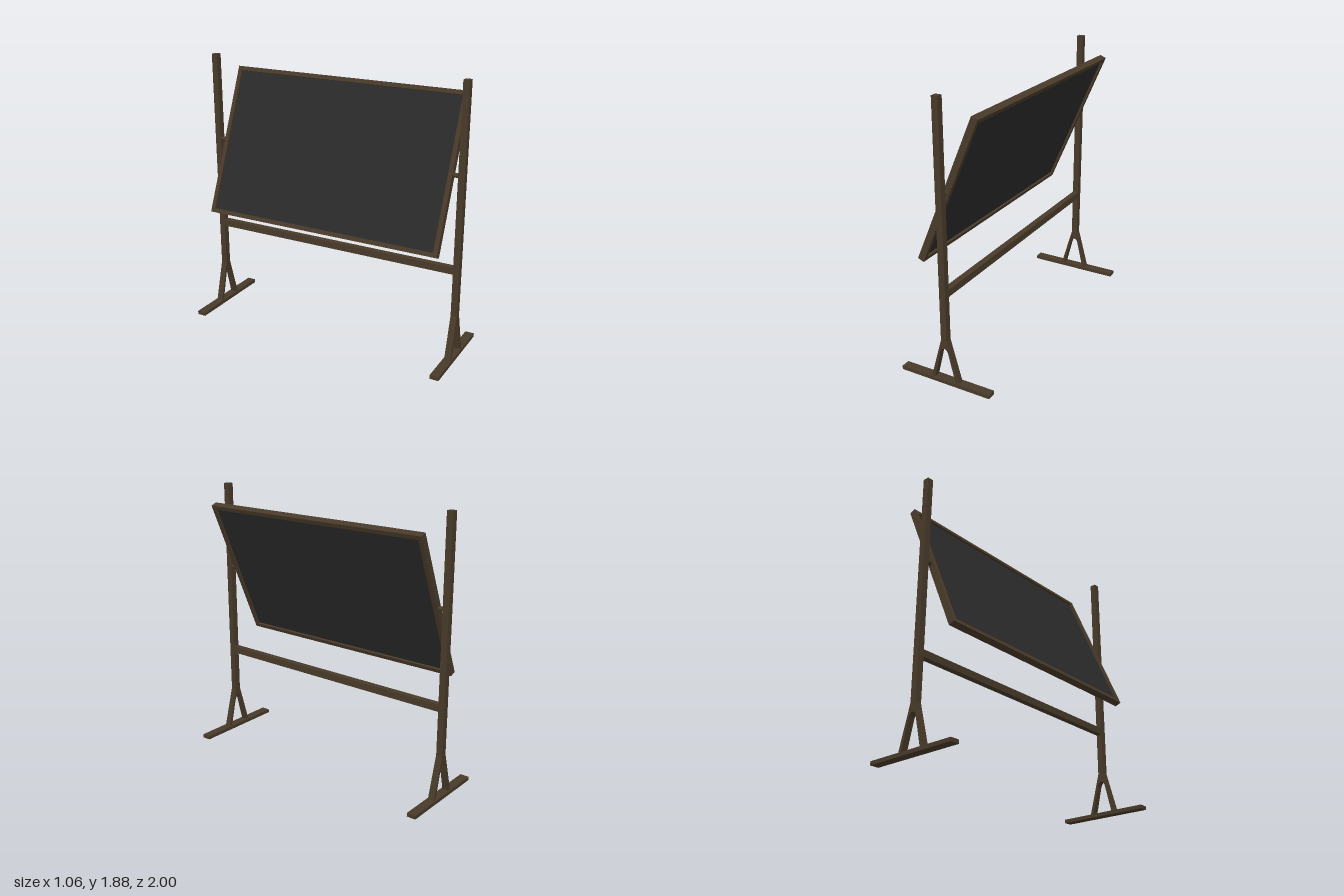
import * as THREE from 'three';

export function createModel() {
  const wood = new THREE.MeshStandardMaterial({ color: 0x483a29 });
  wood.name = 'dark wood';
  const slate = new THREE.MeshStandardMaterial({ color: 0x2a2a2a });
  slate.name = 'slate';

  const model = new THREE.Group();
  model.name = 'revolvingBoard';
  model.rotation.y = 0.224;

  const add = (parent, name, geometry, material, x = 0, y = 0, z = 0) => {
    const mesh = new THREE.Mesh(geometry, material);
    mesh.name = name;
    mesh.position.set(x, y, z);
    parent.add(mesh);
    return mesh;
  };
  const box = (w, h, d) => new THREE.BoxGeometry(w, h, d);

  const postZ = 0.918;   // distance of each post from the middle
  const postW = 0.043;
  const footH = 0.025;
  const forkTop = 0.31;
  const pivotY = 1.27;

  // Forked leg: splayed outline with an arched opening
  const fork = new THREE.Shape();
  fork.moveTo(-0.101, footH);
  fork.lineTo(-postW / 2, forkTop);
  fork.lineTo(postW / 2, forkTop);
  fork.lineTo(0.101, footH);
  fork.lineTo(0.077, footH);
  fork.lineTo(0.031, 0.215);
  fork.bezierCurveTo(0.02, 0.265, -0.02, 0.265, -0.031, 0.215);
  fork.lineTo(-0.077, footH);
  fork.closePath();
  const forkGeometry = new THREE.ExtrudeGeometry(fork, { depth: postW, bevelEnabled: false, curveSegments: 16 });
  forkGeometry.translate(0, 0, -postW / 2);

  // Two end stands: foot, fork, post and pivot pin
  for (const side of [-1, 1]) {
    const stand = new THREE.Group();
    stand.name = side > 0 ? 'frontStand' : 'backStand';
    stand.position.z = side * postZ;
    model.add(stand);
    add(stand, 'foot', box(0.657, footH, 0.062), wood, 0, footH / 2);
    add(stand, 'forkedLeg', forkGeometry, wood);
    add(stand, 'post', box(postW, 1.875 - forkTop, postW), wood, 0, (1.875 + forkTop) / 2);
    const pin = add(stand, 'pivotPin', new THREE.CylinderGeometry(0.015, 0.015, 0.06, 16), wood, 0, pivotY, -side * 0.04);
    pin.rotation.x = Math.PI / 2;
  }

  // Rail joining the posts
  add(model, 'crossRail', box(postW, 0.048, 2 * postZ - postW), wood, 0, 0.63, 0);

  // Tilted board: frame bars around a recessed two-sided panel
  const H = 1.057, L = 1.718, T = 0.045, W = 0.029;
  const board = new THREE.Group();
  board.name = 'tiltingBoard';
  board.position.y = pivotY;
  board.rotation.z = -0.401;
  model.add(board);
  for (const s of [-1, 1]) {
    add(board, s > 0 ? 'topFrame' : 'bottomFrame', box(T, W, L), wood, 0, s * (H - W) / 2, 0);
    add(board, s > 0 ? 'frontFrame' : 'backFrame', box(T, H - 2 * W, W), wood, 0, 0, s * (L - W) / 2);
  }
  add(board, 'writingPanel', box(0.015, H - 2 * W, L - 2 * W), slate);

  const root = new THREE.Group();
  root.name = 'boardOnStand';
  root.add(model);
  return root;
}
